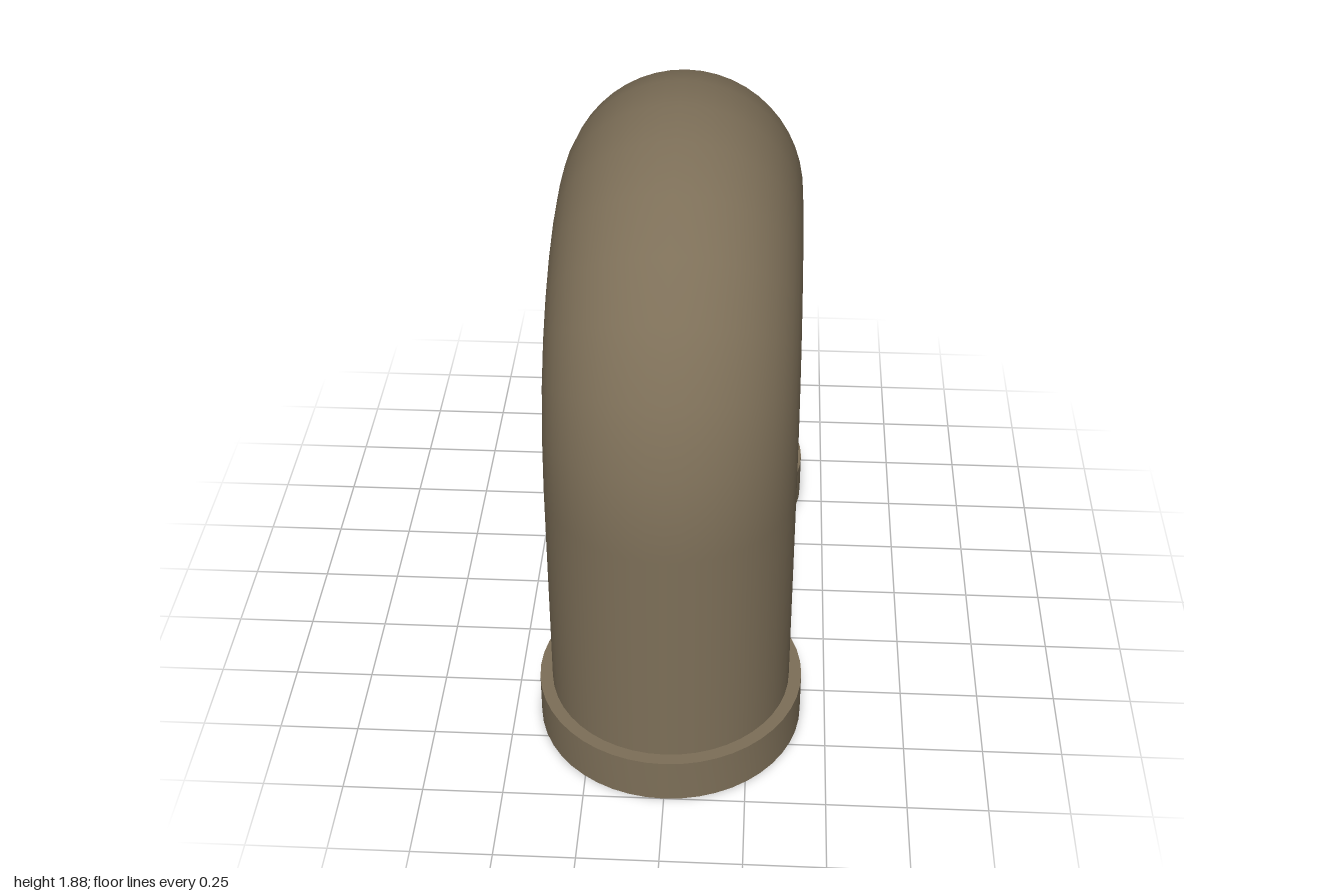
import * as THREE from 'three';
import { toCreasedNormals } from 'three/addons/utils/BufferGeometryUtils.js';

const SIDES = 48;
const LEG = 0.58; // distance of each leg axis from the centre

// Half of the arch centre line: z, y and bend angle in degrees, leg to crown
const HALF = [
  [LEG, 0.912, 0], [0.559, 1.088, 13], [0.516, 1.213, 27], [0.446, 1.315, 41.5],
  [0.358, 1.391, 54.5], [0.248, 1.451, 66.5], [0.125, 1.488, 78.5], [0, 1.5, 90],
];

// Sweeps a round section along the arch; inward flips it to line the bore
function sweep(radius, startY, inward) {
  const half = [[LEG, startY, 0], ...HALF];
  const mirrored = half.slice(0, -1).reverse().map(([z, y, a]) => [-z, y, 180 - a]);
  const spine = [...half, ...mirrored];
  const pos = [], nor = [], idx = [];
  const sign = inward ? -1 : 1;
  spine.forEach(([z, y, deg], i) => {
    const a = THREE.MathUtils.degToRad(deg);
    for (let j = 0; j < SIDES; j++) {
      const t = (j / SIDES) * Math.PI * 2;
      const n = [Math.sin(t), Math.cos(t) * Math.sin(a), Math.cos(t) * Math.cos(a)];
      pos.push(n[0] * radius, y + n[1] * radius, z + n[2] * radius);
      nor.push(...n.map((v) => v * sign));
      if (i === spine.length - 1) continue;
      const p = i * SIDES + j, q = i * SIDES + ((j + 1) % SIDES);
      const r = p + SIDES, s = q + SIDES;
      if (inward) idx.push(p, r, q, q, r, s);
      else idx.push(p, q, r, q, s, r);
    }
  });
  const g = new THREE.BufferGeometry();
  g.setAttribute('position', new THREE.Float32BufferAttribute(pos, 3));
  g.setAttribute('normal', new THREE.Float32BufferAttribute(nor, 3));
  g.setIndex(idx);
  return g;
}

export function createModel() {
  const model = new THREE.Group();
  model.name = 'uBendPipe';
  const brown = new THREE.MeshStandardMaterial({ color: 0x7d6f58 });
  brown.name = 'dull brown';

  const add = (name, geometry, z = 0) => {
    const mesh = new THREE.Mesh(geometry, brown);
    mesh.name = name;
    mesh.position.z = z;
    model.add(mesh);
  };

  // Arched pipe wall and the bore running through it
  add('pipe', sweep(0.38, 0.14, false));
  add('bore', sweep(0.27, 0, true));

  // Collar around each open end
  const profile = [[0.27, 0], [0.42, 0], [0.42, 0.15], [0.37, 0.15]]
    .map(([r, y]) => new THREE.Vector2(r, y));
  const collar = toCreasedNormals(new THREE.LatheGeometry(profile, SIDES), 0.6);
  add('frontCollar', collar, LEG);
  add('backCollar', collar, -LEG);

  return model;
}
